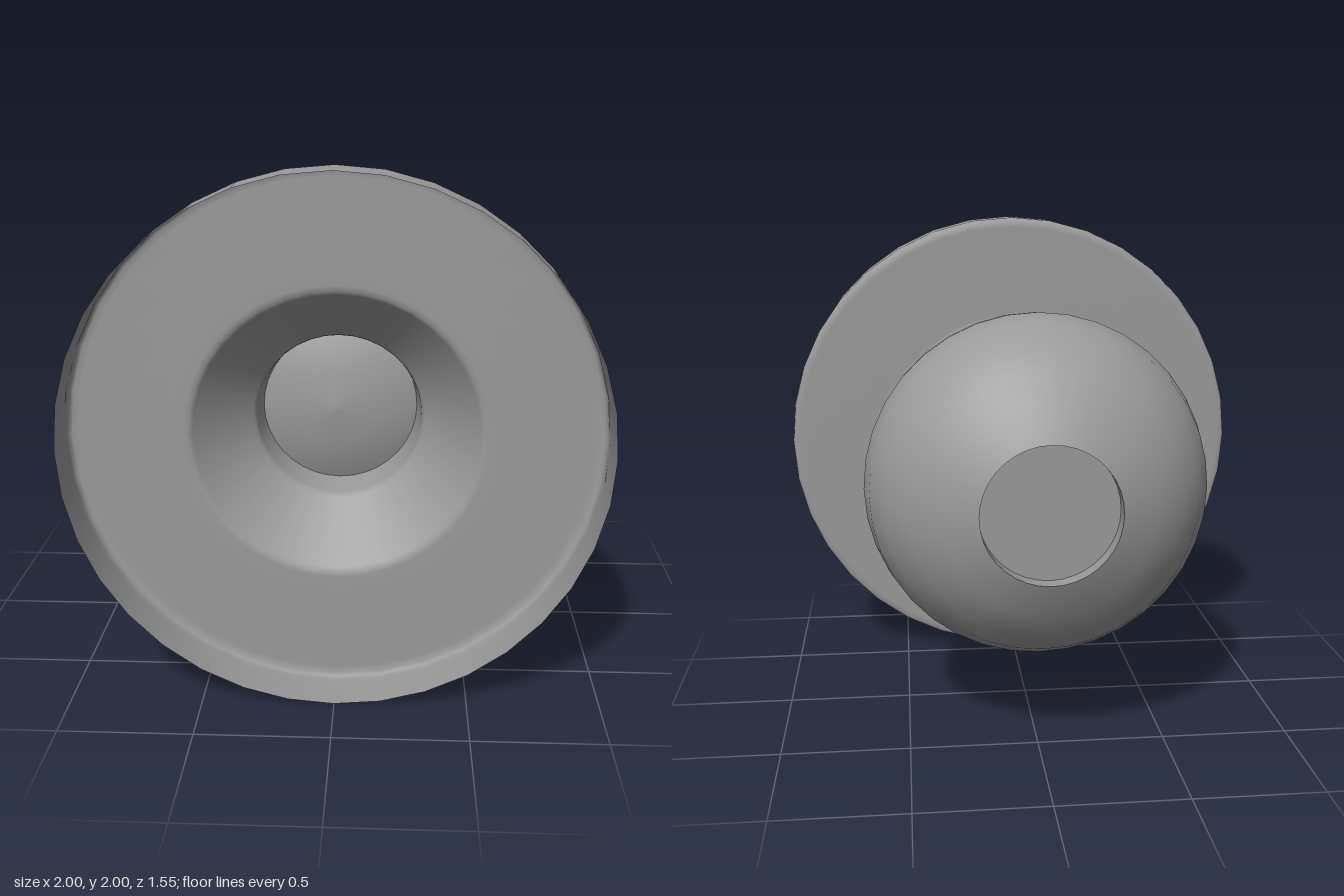
import * as THREE from 'three';

const material = new THREE.MeshStandardMaterial({ color: 0x9a9a9a, side: THREE.DoubleSide });

// Revolves [radius, z] pairs around the z axis; z should run from back to front
function turned(name, profile) {
  const points = profile.map(([r, z]) => new THREE.Vector2(r, z));
  const geometry = new THREE.LatheGeometry(points, 36).rotateX(Math.PI / 2);
  const mesh = new THREE.Mesh(geometry, material);
  mesh.name = name;
  return mesh;
}

export function createModel() {
  const model = new THREE.Group();
  model.name = 'doorKnob';

  // One hollow shell, open at the front: neck, flared collar, plate face and rim
  const rose = turned('mountingPlate', [
    [0.305, 0.18], [0.322, 0.315], [0.326, 0.328], [0.336, 0.34],
    [0.535, 0.56], [0.549, 0.571], [0.57, 0.574], [0.62, 0.573],
    [0.96, 0.573], [0.985, 0.575], [0.996, 0.583], [1, 0.6], [1, 0.63], [1, 0.775]
  ]);

  // Flattened ball knob, cut off at the back around a shallow round recess
  const radius = 0.673, depth = 0.532, cutRadius = 0.259;
  const start = Math.asin(cutRadius / radius);
  const ball = [];
  for (let i = 0; i <= 12; i++) {
    const a = start + (Math.PI - start) * i / 12;
    ball.push([Math.max(0, radius * Math.sin(a)), -depth * Math.cos(a)]);
  }
  const back = ball[0][1], floor = back + 0.068;
  const knob = new THREE.Group();
  knob.name = 'knob';
  knob.add(
    turned('knobBall', ball),
    turned('recessWall', [[cutRadius, floor], [cutRadius, back]]),
    turned('recessFloor', [[0, floor], [cutRadius, floor]])
  );
  // The knob sits very slightly off the neck's axis
  knob.position.set(-0.016, 0, -0.285);
  knob.rotation.y = 0.004;

  model.add(rose, knob);
  rose.position.y = knob.position.y = 1;
  return model;
}
